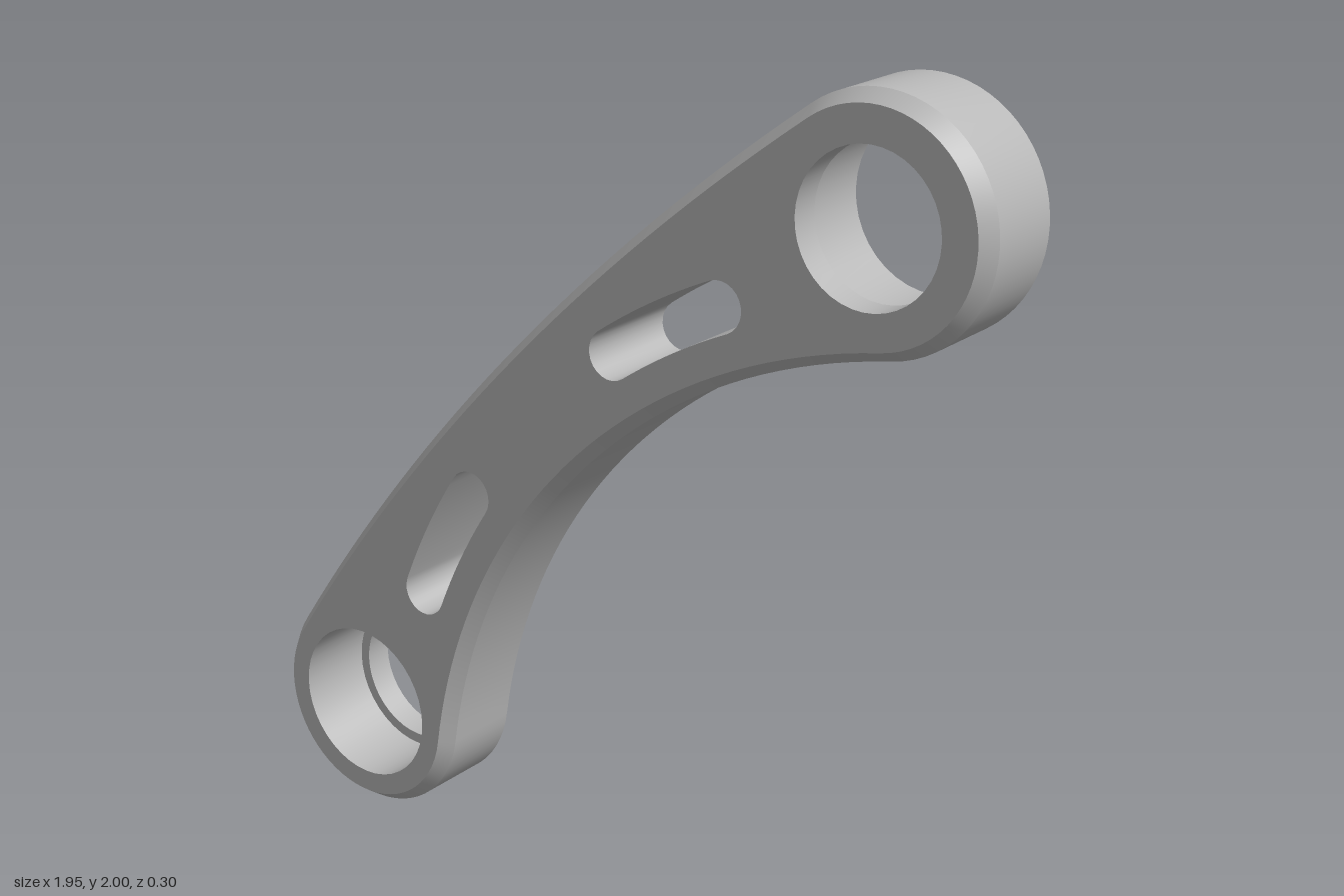
import * as THREE from 'three';

const H = 0.131;          // half thickness
const END_R = 0.273;      // radius of the round ends
const A = new THREE.Vector2(-0.7, 0.274), B = new THREE.Vector2(0.7, 1.726);
const AXIS = new THREE.Vector2(B.y - A.y, A.x - B.x).normalize(); // towards the hollow side
const MID = new THREE.Vector2(0, 1);
const C1 = MID.clone().addScaledVector(AXIS, 1.4);               // centre of the hollow curve
const R1 = C1.distanceTo(A) - END_R;
const R2 = 6;                                                    // radius of the bulging curve
const C2 = MID.clone().addScaledVector(AXIS, Math.sqrt((R2 - END_R) ** 2 - A.distanceTo(MID) ** 2));

const TAU = Math.PI * 2;
const angle = (from, to) => Math.atan2(to.y - from.y, to.x - from.x);

// Points along an arc, last point left out so arcs can be chained
function arc(c, r, a0, a1, n) {
  return Array.from({ length: n }, (_, i) => {
    const a = a0 + (a1 - a0) * i / n;
    return new THREE.Vector2(c.x + r * Math.cos(a), c.y + r * Math.sin(a));
  });
}

// Counter-clockwise arm outline, moved inwards by d
function outline(d) {
  const r = END_R - d;
  return [
    ...arc(A, r, angle(C2, A), angle(A, C1) + TAU, 36),
    ...arc(C1, R1 + d, angle(C1, A), angle(C1, B), 40),
    ...arc(B, r, angle(B, C1), angle(C2, B), 36),
    ...arc(C2, R2 - d, angle(C2, B), angle(C2, A), 30),
  ];
}

const circle = (c, r) => arc(c, r, 0, TAU, 40);

// Curved slot that follows the hollow side, between two rising angles in degrees
function slot(deg0, deg1) {
  const R = 1.613, w = 0.058;
  const a0 = deg0 * Math.PI / 180, a1 = deg1 * Math.PI / 180;
  const at = a => new THREE.Vector2(C1.x + R * Math.cos(a), C1.y + R * Math.sin(a));
  return [
    ...arc(C1, R + w, a0, a1, 12),
    ...arc(at(a1), w, a1, a1 + Math.PI, 12),
    ...arc(C1, R - w, a1, a0, 12),
    ...arc(at(a0), w, a0 + Math.PI, a0 + TAU, 12),
  ];
}

// Closed wall through loops of equal length, listed from front to back
function band(loops, inward = false) {
  const n = loops[0].pts.length, pos = [], idx = [];
  for (const { pts, z } of loops) for (const p of pts) pos.push(p.x, p.y, z);
  for (let k = 0; k < loops.length - 1; k++) {
    for (let i = 0; i < n; i++) {
      const j = (i + 1) % n, a = k * n + i, b = a + n, c = k * n + j, d = c + n;
      if (inward) idx.push(a, c, b, c, d, b);
      else idx.push(a, b, c, c, b, d);
    }
  }
  const g = new THREE.BufferGeometry();
  g.setAttribute('position', new THREE.Float32BufferAttribute(pos, 3));
  g.setIndex(idx);
  g.computeVertexNormals();
  return g;
}

// Flat face with holes, facing forwards (dir 1) or backwards (dir -1)
function face(pts, holes, z, dir) {
  const flip = list => list.map(p => new THREE.Vector2(p.x * dir, p.y));
  const shape = new THREE.Shape(flip(pts));
  holes.forEach(h => shape.holes.push(new THREE.Path(flip(h))));
  const g = new THREE.ShapeGeometry(shape);
  if (dir < 0) g.rotateY(Math.PI);
  return g.translate(0, 0, z);
}

export function createModel() {
  const group = new THREE.Group();
  group.name = 'curvedLinkArm';
  const metal = new THREE.MeshStandardMaterial({ color: 0xb8b8b8 });
  metal.name = 'grey metal';

  // The arm leans back slightly towards its upper end
  const k = 0.0108;
  const lean = new THREE.Matrix4().set(1, 0, 0, 0, 0, 1, 0, 0, -k, -k, 1, k, 0, 0, 0, 1);
  const add = (name, g) => {
    const mesh = new THREE.Mesh(g.applyMatrix4(lean), metal);
    mesh.name = name;
    group.add(mesh);
  };

  const BORE = 0.194, LIP = 0.168, LIP_DEPTH = 0.07, INSET = 0.026, DEPTH = 0.035;
  const slots = [slot(146.6, 158), slot(114, 125.5)];

  // Front and back faces
  add('frontFace', face(outline(INSET), [circle(A, BORE), circle(B, LIP), ...slots], H, 1));
  add('backFace', face(outline(INSET), [circle(A, LIP), circle(B, BORE), ...slots], -H, -1));

  // Crisp front chamfer, then the side wall running softly into the back chamfer
  const rim = outline(0);
  add('frontChamfer', band([{ pts: outline(INSET), z: H }, { pts: rim, z: H - DEPTH }]));
  add('sideWall', band([
    { pts: rim, z: H - DEPTH },
    { pts: rim, z: -H + DEPTH },
    { pts: outline(INSET), z: -H },
  ]));

  // Slot walls
  slots.forEach((s, i) => add(i ? 'upperSlotWall' : 'lowerSlotWall',
    band([{ pts: s, z: H }, { pts: s, z: -H }], true)));

  // Stepped bores: the lower one opens to the front, the upper one to the back
  for (const [name, c, dir] of [['lower', A, 1], ['upper', B, -1]]) {
    const step = dir * (LIP_DEPTH - H);
    const tube = (r, z0, z1) => band([
      { pts: circle(c, r), z: Math.max(z0, z1) },
      { pts: circle(c, r), z: Math.min(z0, z1) },
    ], true);
    add(name + 'Bore', tube(BORE, dir * H, step));
    add(name + 'BoreLip', tube(LIP, step, -dir * H));
    add(name + 'BoreLedge', face(circle(c, BORE), [circle(c, LIP)], step, dir));
  }
  return group;
}
